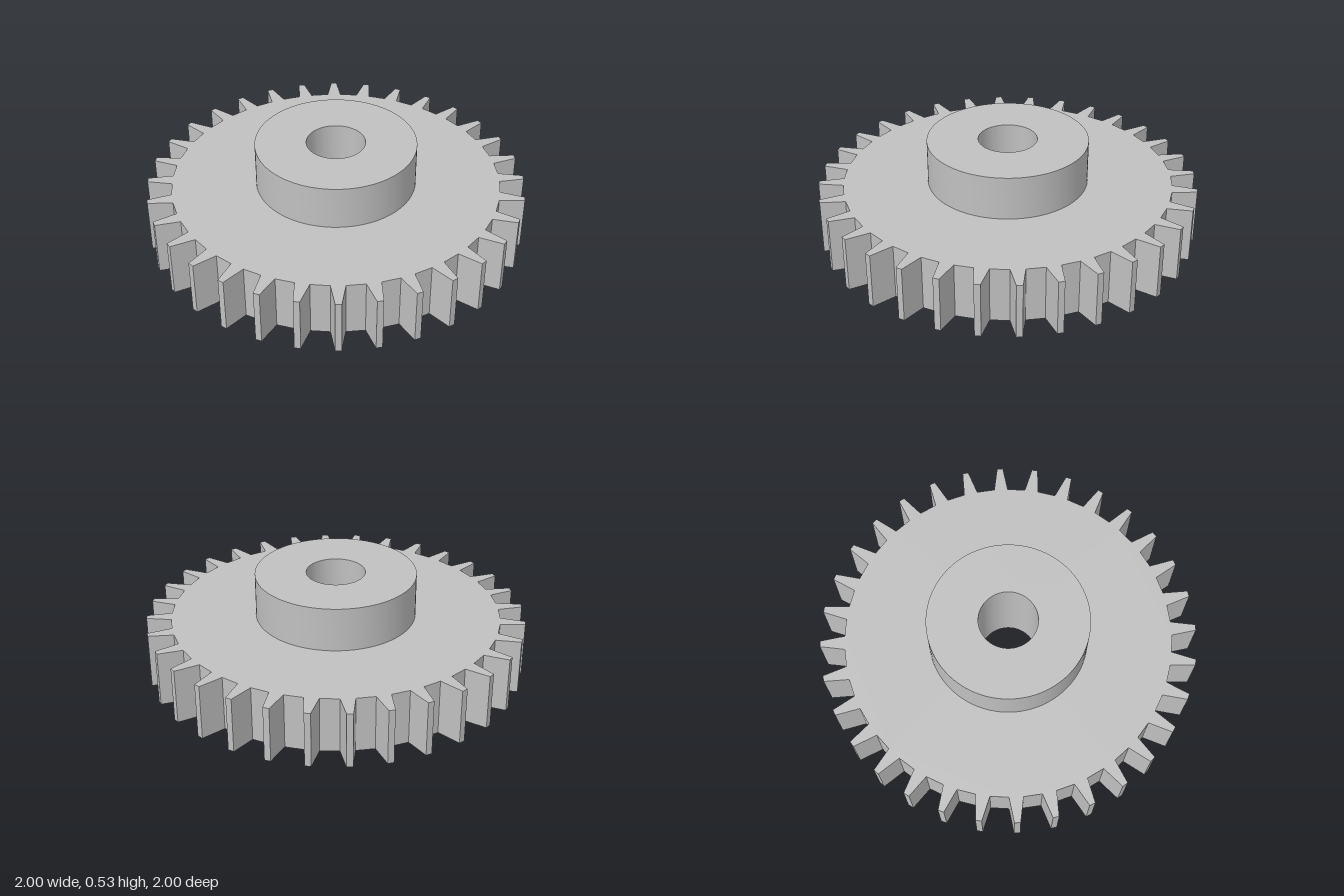
import * as THREE from 'three';
import { toCreasedNormals } from 'three/addons/utils/BufferGeometryUtils.js';

const TEETH = 32;
const ROOT_RADIUS = 0.871;
const TIP_RADIUS = 1.0015;
const BORE_RADIUS = 0.155;
const HUB_RADIUS = 0.424;
const GEAR_HEIGHT = 0.295;
const TOP_HEIGHT = 0.53;
const SEGMENTS = 96;
const CREASE = 0.3;

const polar = (radius, degrees) => {
  const a = THREE.MathUtils.degToRad(degrees);
  return new THREE.Vector2(radius * Math.cos(a), radius * Math.sin(a));
};

// Toothed outline with a round bore
function gearShape() {
  const outline = [];
  for (let i = 0; i < TEETH; i++) {
    const centre = 4.1 + (i * 360) / TEETH;
    outline.push(
      polar(ROOT_RADIUS, centre - 2.45),
      polar(TIP_RADIUS, centre - 0.92),
      polar(TIP_RADIUS, centre + 0.92),
      polar(ROOT_RADIUS, centre + 2.45)
    );
  }
  const bore = [];
  for (let i = 0; i < SEGMENTS; i++) bore.push(polar(BORE_RADIUS, (-i * 360) / SEGMENTS));
  const shape = new THREE.Shape(outline);
  shape.holes.push(new THREE.Path(bore));
  return shape;
}

export function createModel() {
  const model = new THREE.Group();
  model.name = 'spurGear';

  const metal = new THREE.MeshStandardMaterial({ color: 0xc0c0c0 });
  metal.name = 'greyMetal';

  // Toothed wheel, laid flat
  const wheelGeometry = new THREE.ExtrudeGeometry(gearShape(), {
    depth: GEAR_HEIGHT,
    bevelEnabled: false
  });
  wheelGeometry.rotateX(-Math.PI / 2);
  const wheel = new THREE.Mesh(toCreasedNormals(wheelGeometry, CREASE), metal);
  wheel.name = 'toothedWheel';
  model.add(wheel);

  // Raised hub: outer wall, top ring and bore wall
  const hubProfile = [
    new THREE.Vector2(HUB_RADIUS, GEAR_HEIGHT),
    new THREE.Vector2(HUB_RADIUS, TOP_HEIGHT),
    new THREE.Vector2(BORE_RADIUS, TOP_HEIGHT),
    new THREE.Vector2(BORE_RADIUS, GEAR_HEIGHT)
  ];
  const hubGeometry = new THREE.LatheGeometry(hubProfile, SEGMENTS);
  const hub = new THREE.Mesh(toCreasedNormals(hubGeometry, CREASE), metal);
  hub.name = 'hub';
  model.add(hub);

  return model;
}
